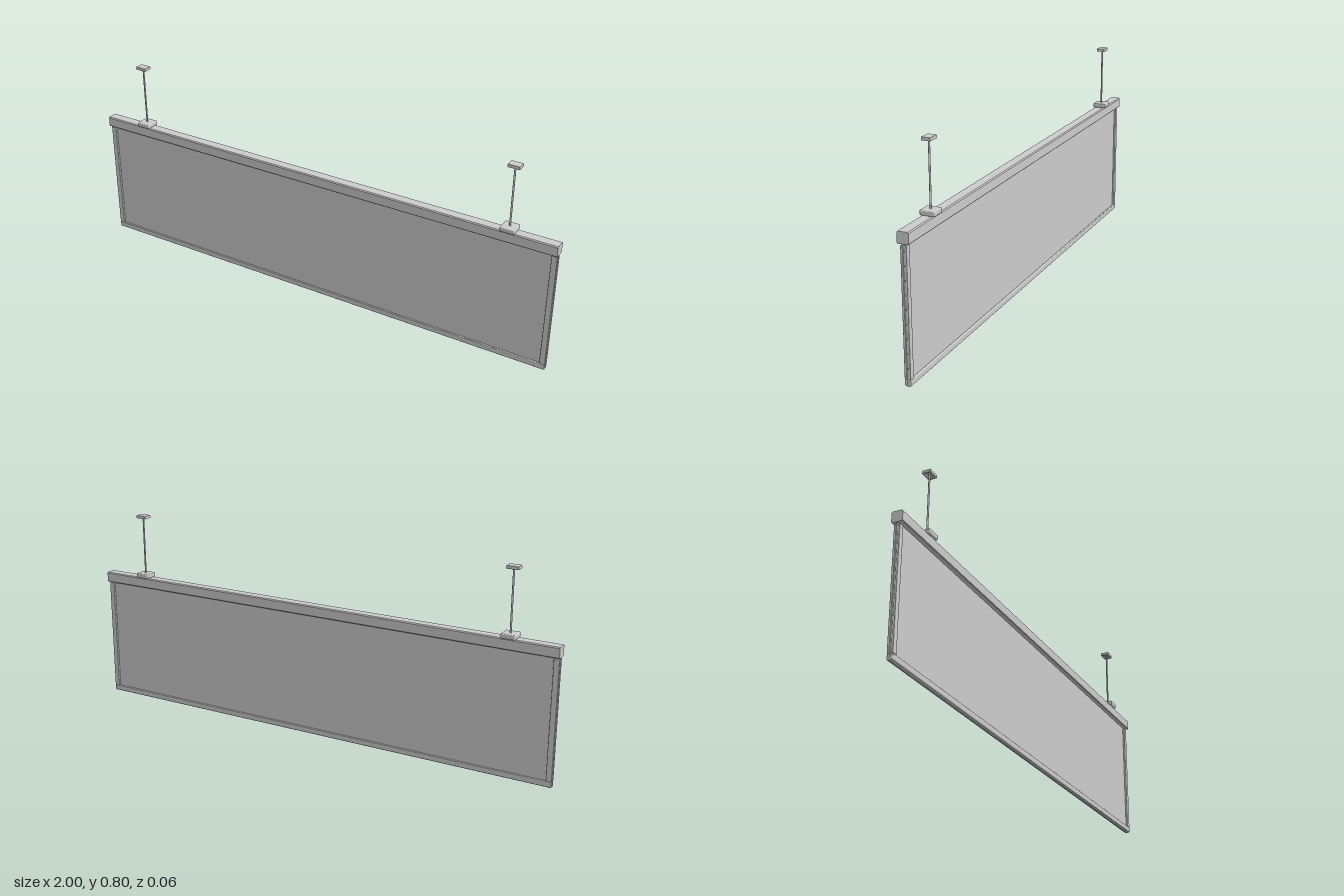
import * as THREE from 'three';
import { RoundedBoxGeometry } from 'three/addons/geometries/RoundedBoxGeometry.js';

export function createModel() {
  const root = new THREE.Group();
  const material = new THREE.MeshStandardMaterial({ color: 0xcccccc });

  const add = (name, geometry, x, y, z, parent = root) => {
    const mesh = new THREE.Mesh(geometry, material);
    mesh.name = name;
    mesh.position.set(x, y, z);
    parent.add(mesh);
    return mesh;
  };
  const box = (w, h, d, r) => new RoundedBoxGeometry(w, h, d, 2, r);

  // Hanging sheet, its lower edge just below the trim
  add('panel', new THREE.BoxGeometry(1.99, 0.5, 0.007), 0, 0.25, 0);

  // Slim trims clamped to both faces of the sheet
  for (const s of [-1, 1]) {
    const z = s * 0.007;
    add('bottomTrim', box(1.996, 0.022, 0.009, 0.003), 0, 0.014, z);
    for (const x of [-0.987, 0.987]) {
      add('sideTrim', box(0.022, 0.465, 0.009, 0.002), x, 0.2575, z);
    }
  }

  // Top rail: chamfered section swept along the width
  const section = new THREE.Shape([
    [-0.019, 0.495], [0.019, 0.495], [0.0215, 0.498], [0.0215, 0.533],
    [0.018, 0.537], [-0.018, 0.537], [-0.0215, 0.533], [-0.0215, 0.498],
  ].map(([z, y]) => new THREE.Vector2(z, y)));
  const railGeometry = new THREE.ExtrudeGeometry(section, { depth: 2, bevelEnabled: false });
  railGeometry.translate(0, 0, -1).rotateY(Math.PI / 2);
  add('topRail', railGeometry, 0, 0, 0);

  // Ceiling cap: square rim, open underneath
  const rim = new THREE.Shape([
    [-0.023, -0.017], [0.023, -0.017], [0.023, 0.017], [-0.023, 0.017],
  ].map(([x, y]) => new THREE.Vector2(x, y)));
  rim.holes.push(new THREE.Path([
    [-0.017, -0.011], [-0.017, 0.011], [0.017, 0.011], [0.017, -0.011],
  ].map(([x, y]) => new THREE.Vector2(x, y))));
  const rimGeometry = new THREE.ExtrudeGeometry(rim, { depth: 0.008, bevelEnabled: false });
  rimGeometry.rotateX(-Math.PI / 2);

  // Two hangers: clamp on the rail, rod and ceiling cap
  for (const x of [-0.81, 0.81]) {
    const hanger = new THREE.Group();
    hanger.name = 'hanger';
    hanger.position.x = x;
    root.add(hanger);
    add('railClamp', box(0.056, 0.019, 0.056, 0.004), 0, 0.5455, 0, hanger);
    add('rod', new THREE.CylinderGeometry(0.0035, 0.0035, 0.243, 16), 0, 0.6735, 0, hanger);
    add('ceilingCapRim', rimGeometry, 0, 0.788, 0, hanger);
    add('ceilingCapTop', box(0.046, 0.006, 0.034, 0.002), 0, 0.797, 0, hanger);
  }
  return root;
}
